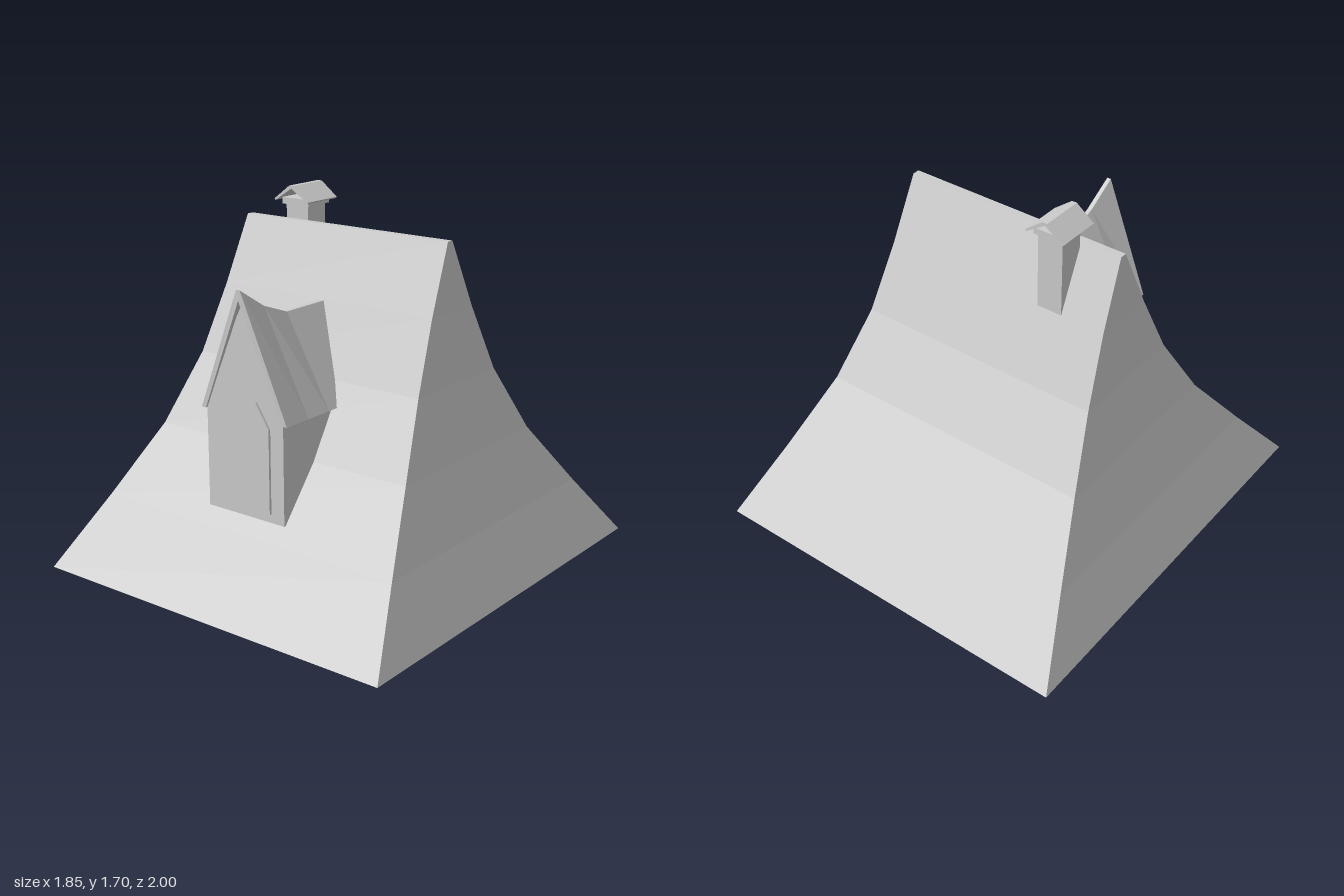
import * as THREE from 'three';

const material = new THREE.MeshStandardMaterial({ color: 0xcccccc, flatShading: true });

// Closed flat-shaded solid through rings of [x, y, z], each counter-clockwise seen from the end
function loft(rings) {
  const pos = [];
  const tri = (a, b, c) => pos.push(...a, ...b, ...c);
  const n = rings[0].length, last = rings[rings.length - 1];
  for (let k = 0; k + 1 < rings.length; k++) {
    const a = rings[k], b = rings[k + 1];
    for (let i = 0; i < n; i++) {
      const j = (i + 1) % n;
      tri(a[i], a[j], b[j]);
      tri(a[i], b[j], b[i]);
    }
  }
  for (let i = 1; i + 1 < n; i++) {
    tri(rings[0][0], rings[0][i + 1], rings[0][i]);
    tri(last[0], last[i], last[i + 1]);
  }
  const g = new THREE.BufferGeometry();
  g.setAttribute('position', new THREE.Float32BufferAttribute(pos, 3));
  g.computeVertexNormals();
  return g;
}

function extrude(points, depth) {
  const shape = new THREE.Shape(points.map(([x, y]) => new THREE.Vector2(x, y)));
  return new THREE.ExtrudeGeometry(shape, { depth, bevelEnabled: false });
}

function add(parent, name, geometry, x = 0, y = 0, z = 0) {
  const mesh = new THREE.Mesh(geometry, material);
  mesh.name = name;
  mesh.position.set(x, y, z);
  parent.add(mesh);
  return mesh;
}

export function createModel() {
  const model = new THREE.Group();
  model.name = 'flaredRoof';

  // Main roof: rectangles shrinking upwards [y, half width, half depth]
  const levels = [
    [0, 0.925, 1], [0.31, 0.8, 0.735], [0.615, 0.686, 0.485],
    [0.93, 0.612, 0.295], [1.24, 0.578, 0.153], [1.545, 0.56, 0.017],
  ];
  add(model, 'mainRoof', loft(levels.map(([y, w, d]) =>
    [[-w, y, d], [w, y, d], [w, y, -d], [-w, y, -d]])));

  // Dormer, its ridge sweeping up to the front [ridge z, eave z, ridge y]
  const dormer = new THREE.Group();
  dormer.name = 'dormer';
  dormer.position.x = -0.011;
  model.add(dormer);
  const ridge = [[0.1, 0.1, 1.235], [0.41, 0.41, 1.235], [0.56, 0.55, 1.29], [0.71, 0.692, 1.383]];
  const eave = 0.83;

  add(dormer, 'dormerWalls', loft(ridge.map(([, e, r]) => {
    const z = Math.min(e, 0.685);
    return [[-0.213, 0.38, z], [0.213, 0.38, z], [0.213, eave, z], [0, r - 0.035, z], [-0.213, eave, z]];
  })));

  add(dormer, 'dormerRoof', loft(ridge.map(([z, e, r]) => [
    [0, r, z], [-0.01, r, z], [-0.239, eave, e], [-0.215, eave, e],
    [0, r - 0.045, z], [0.215, eave, e], [0.239, eave, e], [0.01, r, z],
  ])));

  // Pointed window panel, slightly proud of the wall
  add(dormer, 'dormerWindow', extrude([
    [-0.142, 0.42], [0.142, 0.42], [0.142, 0.8], [0.072, 0.907], [0, 0.96], [-0.072, 0.907], [-0.142, 0.8],
  ], 0.02), 0, 0, 0.676);

  // Chimney with a collar and an open gabled cover
  const chimney = new THREE.Group();
  chimney.name = 'chimney';
  chimney.position.set(-0.298, 0, -0.09);
  model.add(chimney);
  add(chimney, 'chimneyShaft', new THREE.BoxGeometry(0.125, 0.41, 0.125), 0, 1.405, 0);
  add(chimney, 'chimneyCollar', new THREE.BoxGeometry(0.153, 0.03, 0.153), 0, 1.622, 0);
  add(chimney, 'chimneyCover', extrude([
    [-0.1, 1.632], [-0.094, 1.625], [0, 1.686], [0.094, 1.625], [0.1, 1.632], [0.012, 1.699], [-0.012, 1.699],
  ], 0.208), 0, 0, -0.104);

  return model;
}
